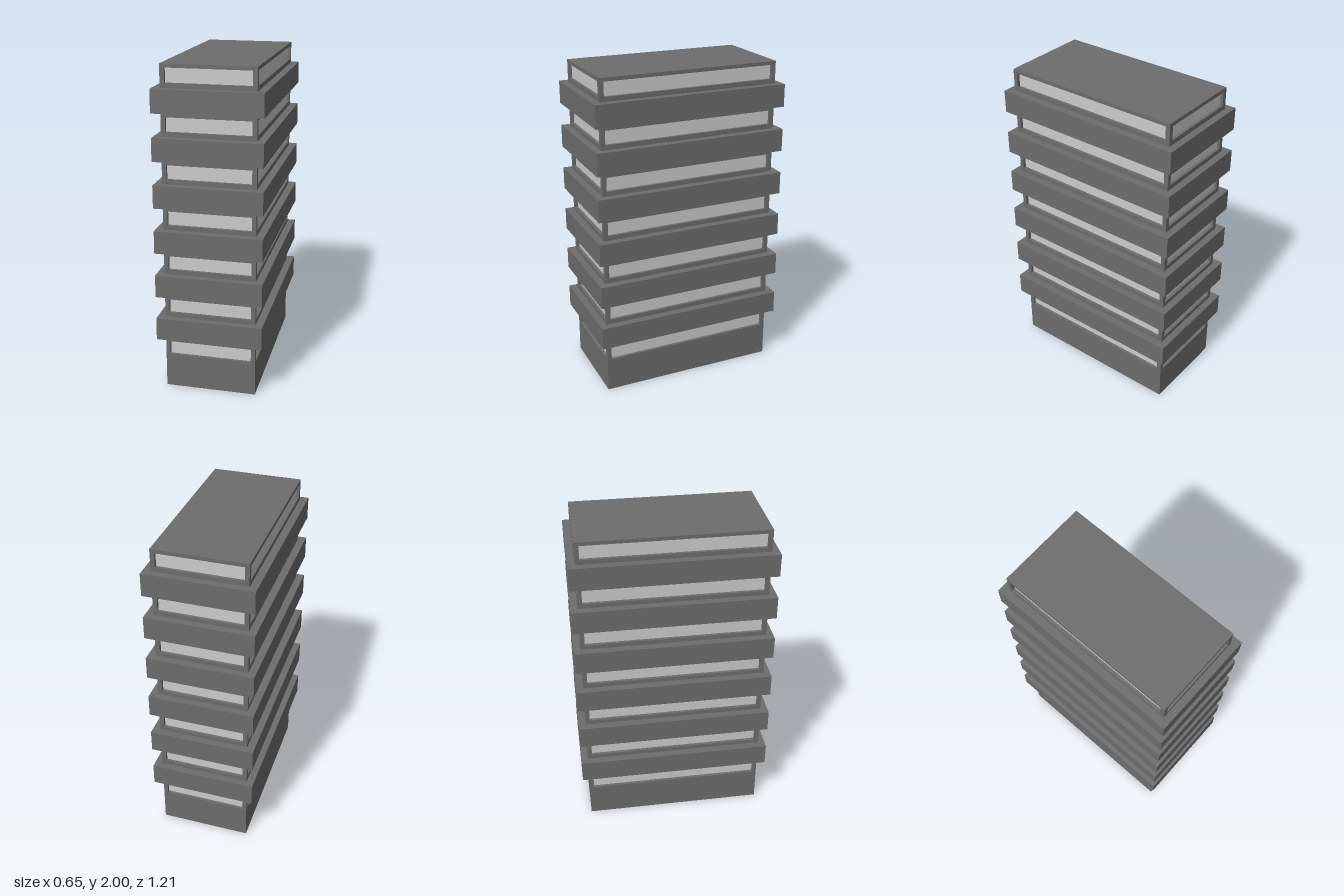
import * as THREE from 'three';

const HX = 0.279, HZ = 0.56, HEIGHT = 2; // tower half width, half depth, height
const FLOORS = 7, STEP = 0.2795;         // storeys and their spacing
const WIN_Y = 0.215, WIN_H = 0.086;      // lowest window strip
const MARGIN = 0.027, RECESS = 0.018;    // wall beside windows, window inset

const concrete = new THREE.MeshStandardMaterial({ color: 0x6d6d6d });
const glass = new THREE.MeshStandardMaterial({ color: 0xcccccc });

function add(parent, name, geometry, material, x = 0, y = 0, z = 0) {
  const mesh = new THREE.Mesh(geometry, material);
  mesh.name = name;
  mesh.position.set(x, y, z);
  parent.add(mesh);
  return mesh;
}

// Wall with one window opening per storey; its back edge is mitred to meet its neighbours
function facadeGeometry(half) {
  const rect = (Type, x, y0, y1) => new Type([
    new THREE.Vector2(-x, y0), new THREE.Vector2(x, y0),
    new THREE.Vector2(x, y1), new THREE.Vector2(-x, y1),
  ]);
  const wall = rect(THREE.Shape, half, 0, HEIGHT);
  for (let i = 0; i < FLOORS; i++) {
    const y = WIN_Y + i * STEP;
    wall.holes.push(rect(THREE.Path, half - MARGIN, y, y + WIN_H));
  }
  const g = new THREE.ExtrudeGeometry(wall, { depth: RECESS, bevelEnabled: false });
  const p = g.attributes.position;
  for (let i = 0; i < p.count; i++) {
    if (p.getZ(i) > RECESS / 2) continue;
    const x = p.getX(i), y = p.getY(i);
    if (Math.abs(x) > half - 1e-4) p.setX(i, x - Math.sign(x) * RECESS);
    if (y < 1e-4) p.setY(i, RECESS);
    if (y > HEIGHT - 1e-4) p.setY(i, HEIGHT - RECESS);
  }
  g.computeVertexNormals();
  return g;
}

export function createModel() {
  const tower = new THREE.Group();
  tower.name = 'officeTower';

  // Four walls
  const narrow = facadeGeometry(HX), wide = facadeGeometry(HZ);
  ['frontWall', 'leftWall', 'backWall', 'rightWall'].forEach((name, i) => {
    const a = i * Math.PI / 2, out = (i % 2 ? HX : HZ) - RECESS;
    const wall = add(tower, name, i % 2 ? wide : narrow, concrete,
      Math.sin(a) * out, 0, Math.cos(a) * out);
    wall.rotation.y = a;
  });

  // Roof and underside
  const slab = new THREE.PlaneGeometry(2 * HX, 2 * HZ);
  add(tower, 'roof', slab, concrete, 0, HEIGHT).rotation.x = -Math.PI / 2;
  add(tower, 'base', slab, concrete).rotation.x = Math.PI / 2;

  // Recessed window strips on every storey, projecting bands between storeys
  const pane = new THREE.BoxGeometry(2 * (HX - RECESS), WIN_H + 0.02, 2 * (HZ - RECESS));
  const band = new THREE.BoxGeometry(0.65, 0.139, 1.206);
  for (let i = 0; i < FLOORS; i++) {
    add(tower, 'windowStrip', pane, glass, 0, WIN_Y + WIN_H / 2 + i * STEP);
    if (i < FLOORS - 1) add(tower, 'balconyBand', band, concrete, 0, 0.397 + i * STEP);
  }
  return tower;
}
